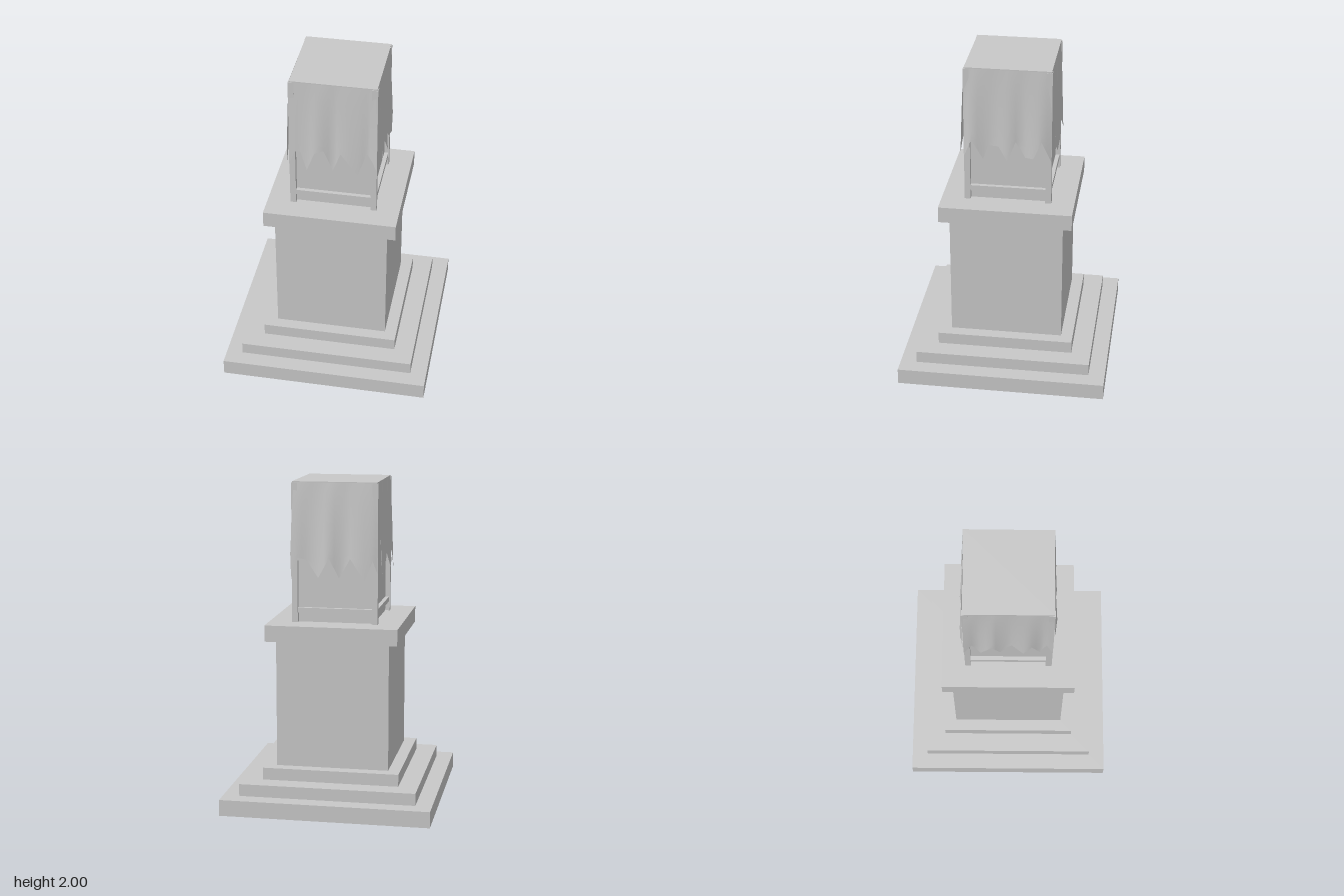
import * as THREE from 'three';

// One side of cloth: hem is [across, height] points, folds is [across, bulge] points
const SIDES = [
  { // front
    hem: [[-.27, 1.43], [-.235, 1.52], [-.2, 1.525], [-.16, 1.4], [-.11, 1.53], [-.055, 1.55], [0, 1.41], [.05, 1.54], [.155, 1.405], [.21, 1.555], [.24, 1.51], [.27, 1.45]],
    folds: [[-.27, .01], [-.2, .008], [-.1, .024], [0, .005], [.06, .02], [.14, .024], [.21, .006], [.27, .02]],
  },
  { // left (+x)
    hem: [[-.27, 1.43], [-.22, 1.55], [-.15, 1.42], [-.12, 1.51], [-.055, 1.51], [0, 1.42], [.05, 1.545], [.11, 1.445], [.16, 1.445], [.21, 1.555], [.27, 1.42]],
    folds: [[-.27, .008], [-.22, .025], [-.1, .003], [0, .024], [.08, .003], [.16, .024], [.22, .02], [.27, .002]],
  },
  { // back
    hem: [[-.27, 1.45], [-.23, 1.54], [-.18, 1.53], [-.1, 1.42], [-.03, 1.54], [.03, 1.42], [.1, 1.54], [.19, 1.41], [.24, 1.53], [.27, 1.45]],
    folds: [[-.27, .025], [-.15, .004], [-.05, .03], [.06, .004], [.16, .028], [.27, .006]],
  },
  { // right (-x)
    hem: [[-.27, 1.45], [-.22, 1.54], [-.17, 1.41], [-.1, 1.53], [-.05, 1.43], [.02, 1.54], [.09, 1.44], [.14, 1.53], [.19, 1.42], [.23, 1.54], [.27, 1.42]],
    folds: [[-.27, .026], [-.2, .006], [-.1, .025], [0, .004], [.1, .028], [.2, .004], [.27, .015]],
  },
];

function sample(points, u) {
  for (let i = 1; i < points.length; i++) {
    const [u0, v0] = points[i - 1], [u1, v1] = points[i];
    if (u <= u1) return v0 + (v1 - v0) * (u - u0) / (u1 - u0);
  }
  return points[points.length - 1][1];
}

// Sheet hanging from the top edge, its folds opening towards a ragged hem
function clothGeometry({ hem, folds }) {
  const columns = [];
  hem.forEach(([u], i) => {
    if (i) columns.push((u + hem[i - 1][0]) / 2);
    columns.push(u);
  });
  const rows = 8;
  const geometry = new THREE.PlaneGeometry(1, 1, columns.length - 1, rows);
  const p = geometry.attributes.position;
  for (let r = 0; r <= rows; r++) {
    const t = r / rows;
    columns.forEach((u, c) => {
      const y = 1.995 + (sample(hem, u) - 1.995) * t;
      const x = u * (0.93 + 0.05 * Math.min(1, t * 2));
      p.setXYZ(r * columns.length + c, x, y, 0.262 + 0.004 * t + sample(folds, u) * Math.pow(t, 0.9));
    });
  }
  geometry.computeVertexNormals();
  return geometry;
}

export function createModel() {
  const model = new THREE.Group();
  model.name = 'drapedPedestal';
  const stone = new THREE.MeshStandardMaterial({ color: 0xc8c8c8 });
  stone.name = 'plainGrey';
  const cloth = stone.clone();
  cloth.name = 'clothGrey';
  cloth.side = THREE.DoubleSide;

  function box(name, w, d, y0, y1, x = 0, z = 0, parent = model) {
    const mesh = new THREE.Mesh(new THREE.BoxGeometry(w, y1 - y0, d), stone);
    mesh.position.set(x, (y0 + y1) / 2, z);
    mesh.name = name;
    parent.add(mesh);
  }

  // Stepped base, shaft and cap: [name, width, bottom, top]
  [
    ['lowerStep', 1.286, 0, 0.1],
    ['middleStep', 1.084, 0.1, 0.175],
    ['upperStep', 0.842, 0.175, 0.25],
    ['shaft', 0.695, 0.25, 1.04],
    ['capSlab', 0.812, 1.04, 1.14],
    ['innerPanel', 0.472, 1.14, 1.53],
    ['header', 0.52, 1.52, 2],
  ].forEach(([name, w, y0, y1]) => box(name, w, w, y0, y1));

  // Corner posts
  for (const x of [-1, 1]) for (const z of [-1, 1]) {
    box('cornerPost', 0.036, 0.036, 1.14, 1.992, x * 0.247, z * 0.247);
  }

  // Bottom rail and hanging cloth on each side
  SIDES.forEach((side, i) => {
    const group = new THREE.Group();
    group.name = 'clothSide';
    group.rotation.y = i * Math.PI / 2;
    box('bottomRail', 0.46, 0.028, 1.2, 1.23, 0, 0.247, group);
    const sheet = new THREE.Mesh(clothGeometry(side), cloth);
    sheet.name = 'hangingCloth';
    group.add(sheet);
    model.add(group);
  });

  return model;
}
